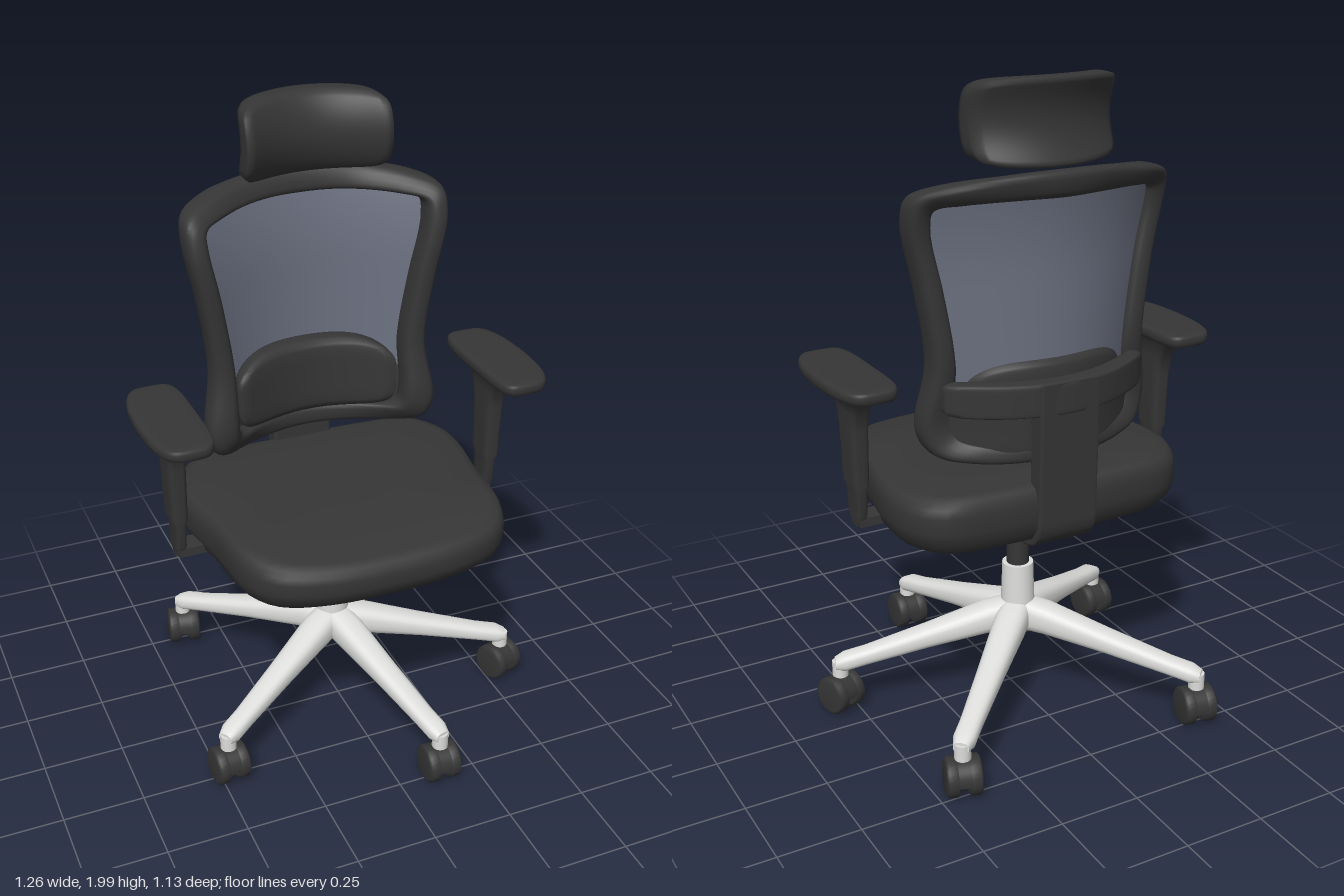
import * as THREE from 'three';
import { mergeVertices } from 'three/addons/utils/BufferGeometryUtils.js';

const V = (x, y, z) => new THREE.Vector3(x, y, z);
const lerp = THREE.MathUtils.lerp;

// Point on a unit superellipse; n = 2 is a circle, larger n is squarer
function se(t, n) {
  const c = Math.cos(t), s = Math.sin(t), p = 2 / n;
  return [Math.sign(c) * Math.abs(c) ** p, Math.sign(s) * Math.abs(s) ** p];
}
const ring = (fn, n = 3, count = 32) =>
  Array.from({ length: count }, (_, i) => fn(...se((i / count) * Math.PI * 2, n)));

// Skin a list of rings; loop joins the last to the first, otherwise ends are capped
function loft(rings, loop = false) {
  const m = rings[0].length, k = rings.length, pts = rings.flat(), idx = [];
  for (let i = 0; i < (loop ? k : k - 1); i++) for (let j = 0; j < m; j++) {
    const a = i * m + j, b = i * m + (j + 1) % m;
    const c = ((i + 1) % k) * m + j, d = ((i + 1) % k) * m + (j + 1) % m;
    idx.push(a, c, b, b, c, d);
  }
  if (!loop) for (const e of [0, k - 1]) {
    const mid = rings[e].reduce((s, p) => s.add(p), V(0, 0, 0)).divideScalar(m);
    const o = pts.push(mid, ...rings[e].map(p => p.clone())) - m;
    for (let j = 0; j < m; j++) {
      const a = o + j, b = o + (j + 1) % m;
      if (e) idx.push(o - 1, b, a); else idx.push(o - 1, a, b);
    }
  }
  const g = new THREE.BufferGeometry().setFromPoints(pts);
  g.setIndex(idx);
  g.computeVertexNormals();
  return g;
}

// Rounded slab whose vertices are then moved by a rule
function pillow(w, h, d, n, rule) {
  let g = new THREE.BoxGeometry(2, 2, 2, 28, 16, 6);
  g.deleteAttribute('uv');
  g.deleteAttribute('normal');
  g = mergeVertices(g);
  const p = g.attributes.position, v = V(0, 0, 0);
  for (let i = 0; i < p.count; i++) {
    v.fromBufferAttribute(p, i);
    const s = (Math.abs(v.x) ** n + Math.abs(v.y) ** n + Math.abs(v.z) ** n) ** (-1 / n);
    v.set(v.x * s * w / 2, v.y * s * h / 2, v.z * s * d / 2);
    rule(v);
    p.setXYZ(i, v.x, v.y, v.z);
  }
  g.computeVertexNormals();
  return g;
}

// Closed symmetric outline from its right half
function outline(half) {
  const mirrored = half.slice(1, -1).reverse().map(([x, y]) => [-x, y]);
  return new THREE.CatmullRomCurve3([...half, ...mirrored].map(([x, y]) => V(x, y, 0)), true);
}

// Depth of the curved backrest surface
function bend(x, y) {
  const top = Math.max(0, (y - 1.45) / 0.3);
  return -0.285 - 0.04 * top * top + (1.4 - 0.72 * Math.max(0, y - 1)) * x * x;
}

export function createModel() {
  const model = new THREE.Group();
  const mat = (name, color) => Object.assign(new THREE.MeshStandardMaterial({ color }), { name });
  const black = mat('charcoal', 0x363636);
  const white = mat('light grey', 0xdedfdc);
  const mesh = mat('grey mesh', 0x6b7080);
  mesh.side = THREE.DoubleSide;
  const add = (name, geo, m = black, parent = model, pos = [0, 0, 0]) => {
    const o = new THREE.Mesh(geo, m);
    o.name = name;
    o.position.set(...pos);
    parent.add(o);
    return o;
  };
  const hubZ = -0.05;

  // Star base: hub, five tapering legs, twin-wheel casters [x, z, swivel]
  add('baseHub', new THREE.CylinderGeometry(0.049, 0.056, 0.21, 32), white, model, [0, 0.355, hubZ]);
  add('gasLift', new THREE.CylinderGeometry(0.035, 0.035, 0.2, 24), black, model, [0, 0.54, hubZ]);
  const legProfile = [[0, 0.288, 0.05, 0.056], [0.1, 0.277, 0.052, 0.05], [0.3, 0.232, 0.042, 0.036],
    [0.5, 0.186, 0.034, 0.028], [0.57, 0.172, 0.034, 0.028], [0.6, 0.166, 0.024, 0.018]];
  const feet = [[0.13, 0.505, 0], [0.55, 0.11, 0.35], [0.425, -0.485, -0.3], [-0.385, -0.495, -0.17], [-0.475, 0.26, 0.1]];
  const rim = [[0, -0.02], [0.05, -0.02], [0.06, -0.013], [0.06, 0.013], [0.05, 0.02], [0, 0.02]];
  for (const [x, z, swivel] of feet) {
    const length = Math.hypot(x, z - hubZ) + 0.015;
    const leg = add('baseLeg', loft(legProfile.map(([r, y, w, h]) =>
      ring((c, s) => V(c * w, y - s * h, r * length / 0.6), 2.6, 24))), white, model, [0, 0, hubZ]);
    leg.rotation.y = Math.atan2(x, z - hubZ);
    const caster = new THREE.Group();
    caster.name = 'caster';
    caster.position.set(x, 0, z);
    caster.rotation.y = swivel;
    model.add(caster);
    add('casterStem', new THREE.CylinderGeometry(0.025, 0.025, 0.05, 16), white, caster, [0, 0.15, 0]);
    // Half-round hood bridging the two wheels
    const hood = new THREE.CylinderGeometry(0.058, 0.058, 0.06, 24, 1, false, 0, Math.PI).rotateZ(Math.PI / 2);
    add('casterHood', hood, black, caster, [0, 0.068, 0]);
    add('casterBridge', new THREE.BoxGeometry(0.05, 0.02, 0.11), black, caster, [0, 0.068, 0]);
    for (const s of [-1, 1]) {
      const wheel = new THREE.LatheGeometry(rim.map(p => new THREE.Vector2(...p)), 28).rotateZ(Math.PI / 2);
      add('casterWheel', wheel, black, caster, [s * 0.033, 0.067, 0]);
    }
  }

  // Tilt mechanism and its control block under the seat
  add('tiltMechanism', loft([[0.59, 0.05, 0.06], [0.62, 0.075, 0.1], [0.67, 0.13, 0.16]].map(([y, w, d]) =>
    ring((c, s) => V(c * w, y, s * d - 0.04), 5))));
  const block = add('tiltControl', new THREE.BoxGeometry(0.1, 0.085, 0.12), black, model, [0, 0.553, 0.152]);
  block.rotation.x = -0.22;
  const link = add('tiltLink', new THREE.BoxGeometry(0.07, 0.07, 0.1), black, model, [0, 0.625, 0.1]);
  link.rotation.x = -0.4;

  // Seat cushion: one plan outline scaled through its height, thinner at the nose
  const plan = outline([[0, 0.473], [0.22, 0.457], [0.36, 0.4], [0.42, 0.3], [0.445, 0.1], [0.475, -0.1],
    [0.462, -0.21], [0.39, -0.31], [0.2, -0.34], [0, -0.34]]).getSpacedPoints(72).slice(0, 72).reverse();
  const layers = [[0.645, 0.45], [0.65, 0.78], [0.668, 0.92], [0.7, 0.975], [0.74, 1], [0.79, 1],
    [0.815, 0.988], [0.833, 0.96], [0.843, 0.9], [0.849, 0.65], [0.851, 0.3]];
  add('seatCushion', loft(layers.map(([y, s]) => plan.map(p => {
    const z = 0.05 + (p.y - 0.05) * s;
    return V(p.x * s, y - 1.3 * Math.max(0, z - 0.25) * (y - 0.75), z);
  }))));

  // Backrest frame: ring swept between the outer and inner outlines
  const outer = [[0, 0.9], [0.25, 0.905], [0.345, 0.93], [0.378, 1.0], [0.352, 1.2], [0.38, 1.42],
    [0.417, 1.62], [0.405, 1.69], [0.33, 1.725], [0.15, 1.75], [0, 1.755]];
  const inner = [[0, 0.97], [0.2, 0.97], [0.265, 0.99], [0.275, 1.05], [0.277, 1.2], [0.31, 1.42],
    [0.346, 1.6], [0.342, 1.65], [0.28, 1.665], [0.12, 1.675], [0, 1.675]];
  const oc = outline(outer), ic = outline(inner), steps = 120;
  add('backFrame', loft(Array.from({ length: steps }, (_, i) => {
    const o = oc.getPoint(i / steps), n = ic.getPoint(i / steps);
    const mid = o.clone().add(n).multiplyScalar(0.5), half = o.clone().sub(n).multiplyScalar(0.5);
    const depth = lerp(0.032, 0.052, THREE.MathUtils.smoothstep(Math.abs(mid.x), 0.15, 0.32));
    return ring((c, s) => {
      const x = mid.x + half.x * c, y = mid.y + half.y * c;
      return V(x, y, bend(mid.x, y) + depth * s + 0.004);
    }, 2.8, 20);
  }), true));

  // Mesh panel stretched inside the frame
  const panel = new THREE.PlaneGeometry(2, 1, 24, 16), pp = panel.attributes.position;
  for (let i = 0; i < pp.count; i++) {
    const f = pp.getY(i) + 0.5, y = lerp(1.07, 1.7, f);
    const x = pp.getX(i) * lerp(0.305, 0.37, f * f);
    pp.setXYZ(i, x, y, bend(x, y));
  }
  panel.computeVertexNormals();
  add('backMesh', panel, mesh);

  // Lumbar pad with an arched top, and the solid shell behind it
  add('lumbarPad', pillow(0.53, 0.24, 0.09, 5, v => {
    const e = (v.x / 0.265) ** 2;
    if (v.y > 0) v.y *= 1 - 0.35 * e * e;
    v.y += 1.09;
    v.z += bend(v.x, v.y) + 0.025;
  }));
  add('lumbarShell', pillow(0.62, 0.19, 0.03, 8, v => {
    v.y += 1.025;
    v.z += bend(v.x, v.y) - 0.012;
  }));

  // Headrest, wrapped forward at the sides and rolled back above and below
  add('headrest', pillow(0.45, 0.245, 0.075, 8, v => {
    v.z *= 1 + 7 * v.x * v.x;
    v.z += -0.228 + 1.65 * v.x * v.x - 2.9 * v.y * v.y;
    v.y = 1.878 + v.y * (1 - 1.4 * v.x * v.x);
  }));

  // Back support: J-shaped arm from under the seat, and the curved cross bar
  const j = new THREE.Shape();
  j.moveTo(0, 0.61);
  j.lineTo(0, 0.66);
  j.lineTo(-0.25, 0.685);
  j.quadraticCurveTo(-0.3, 0.69, -0.3, 0.75);
  j.lineTo(-0.305, 1.15);
  j.lineTo(-0.356, 1.15);
  j.lineTo(-0.346, 0.72);
  j.quadraticCurveTo(-0.34, 0.645, -0.27, 0.637);
  const arm = new THREE.ExtrudeGeometry(j, { depth: 0.18, bevelSize: 0.006, bevelThickness: 0.008, bevelSegments: 2 });
  add('backSupportArm', arm.translate(0, 0, -0.09).rotateY(-Math.PI / 2));
  add('backCrossBar', pillow(0.66, 0.1, 0.064, 10, v => {
    v.z += -0.332 + 1.25 * v.x * v.x;
    v.y += 1.108;
  }));

  // Armrests: bracket, flared post and flat pad on both sides
  const post = [[0.69, 0.52, 0.014, 0.025], [0.73, 0.52, 0.018, 0.042], [0.81, 0.521, 0.019, 0.048],
    [0.825, 0.522, 0.026, 0.053], [1.0, 0.524, 0.03, 0.056], [1.06, 0.524, 0.033, 0.068],
    [1.105, 0.528, 0.038, 0.1], [1.135, 0.535, 0.065, 0.14]];
  const pad = [[1.13, 0.84], [1.136, 0.96], [1.146, 1], [1.155, 1], [1.163, 0.97], [1.167, 0.88], [1.168, 0.5]];
  for (const s of [-1, 1]) {
    const side = new THREE.Group();
    side.name = s > 0 ? 'leftArmrest' : 'rightArmrest';
    model.add(side);
    add('armBracket', new THREE.BoxGeometry(0.29, 0.028, 0.07), black, side, [s * 0.383, 0.705, -0.01]);
    add('armPost', loft(post.map(([y, x, w, d]) => ring((c, q) => V(s * x + c * w, y, q * d - 0.01), 4))), black, side);
    // Pad plan is pulled in slightly at the outer rear and front corners
    add('armPad', loft(pad.map(([y, f]) => ring((c, q) => V(
      s * (0.539 - 0.012 * q * q) + c * (0.093 - 0.012 * q * q - 0.05 * (1 - f)),
      y, 0.01 + q * (0.22 - 0.05 * (1 - f))), 4.5, 48))), black, side);
  }
  return model;
}
